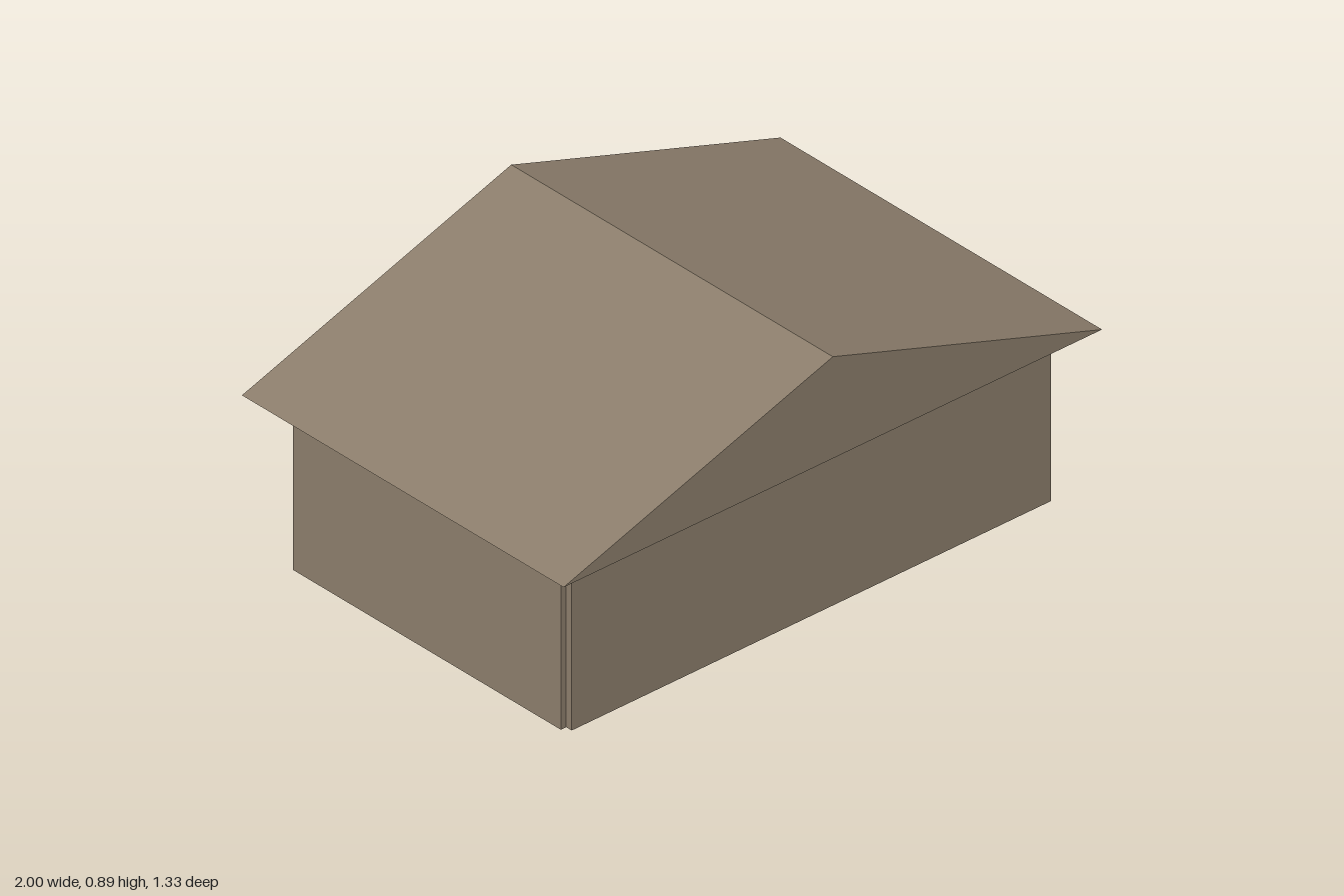
import * as THREE from 'three';

const EAVE = 0.557, RIDGE = 0.89, HALF_W = 1, HALF_D = 0.667;

export function createModel() {
  const model = new THREE.Group();
  model.name = 'house';
  const taupe = new THREE.MeshStandardMaterial({ color: 0x8b7d6b, side: THREE.DoubleSide });
  taupe.name = 'taupe';

  const add = (name, geometry) => {
    const mesh = new THREE.Mesh(geometry, taupe);
    mesh.name = name;
    model.add(mesh);
    return mesh;
  };

  // Walls: one block whose plan is notched at the four corners
  const x = 0.91, xi = 0.89, z = 0.578, zi = 0.555;
  const quarter = [[x, zi], [xi, zi], [xi, z]];
  const plan = [
    ...quarter,
    ...quarter.map(([a, b]) => [-a, b]).reverse(),
    ...quarter.map(([a, b]) => [-a, -b]),
    ...quarter.map(([a, b]) => [a, -b]).reverse(),
  ].map(([a, b]) => new THREE.Vector2(a, b));
  const walls = new THREE.ExtrudeGeometry(new THREE.Shape(plan), { depth: EAVE, bevelEnabled: false });
  walls.rotateX(-Math.PI / 2);
  add('walls', walls);

  // Roof slopes: thin sheets from ridge to eave, open underneath
  const rise = RIDGE - EAVE;
  for (const side of [-1, 1]) {
    const slope = new THREE.PlaneGeometry(Math.hypot(HALF_W, rise), HALF_D * 2);
    slope.rotateX(-Math.PI / 2);
    slope.rotateZ(-side * Math.atan2(rise, HALF_W));
    slope.translate(side * HALF_W / 2, (RIDGE + EAVE) / 2, 0);
    add(side > 0 ? 'leftRoofSlope' : 'rightRoofSlope', slope);
  }

  // Gable triangles closing the front and back of the roof
  const triangle = new THREE.Shape([
    new THREE.Vector2(-HALF_W, EAVE),
    new THREE.Vector2(HALF_W, EAVE),
    new THREE.Vector2(0, RIDGE),
  ]);
  for (const side of [-1, 1]) {
    const gable = new THREE.ShapeGeometry(triangle);
    if (side < 0) gable.rotateY(Math.PI);
    gable.translate(0, 0, side * HALF_D);
    add(side > 0 ? 'frontGable' : 'backGable', gable);
  }

  return model;
}
